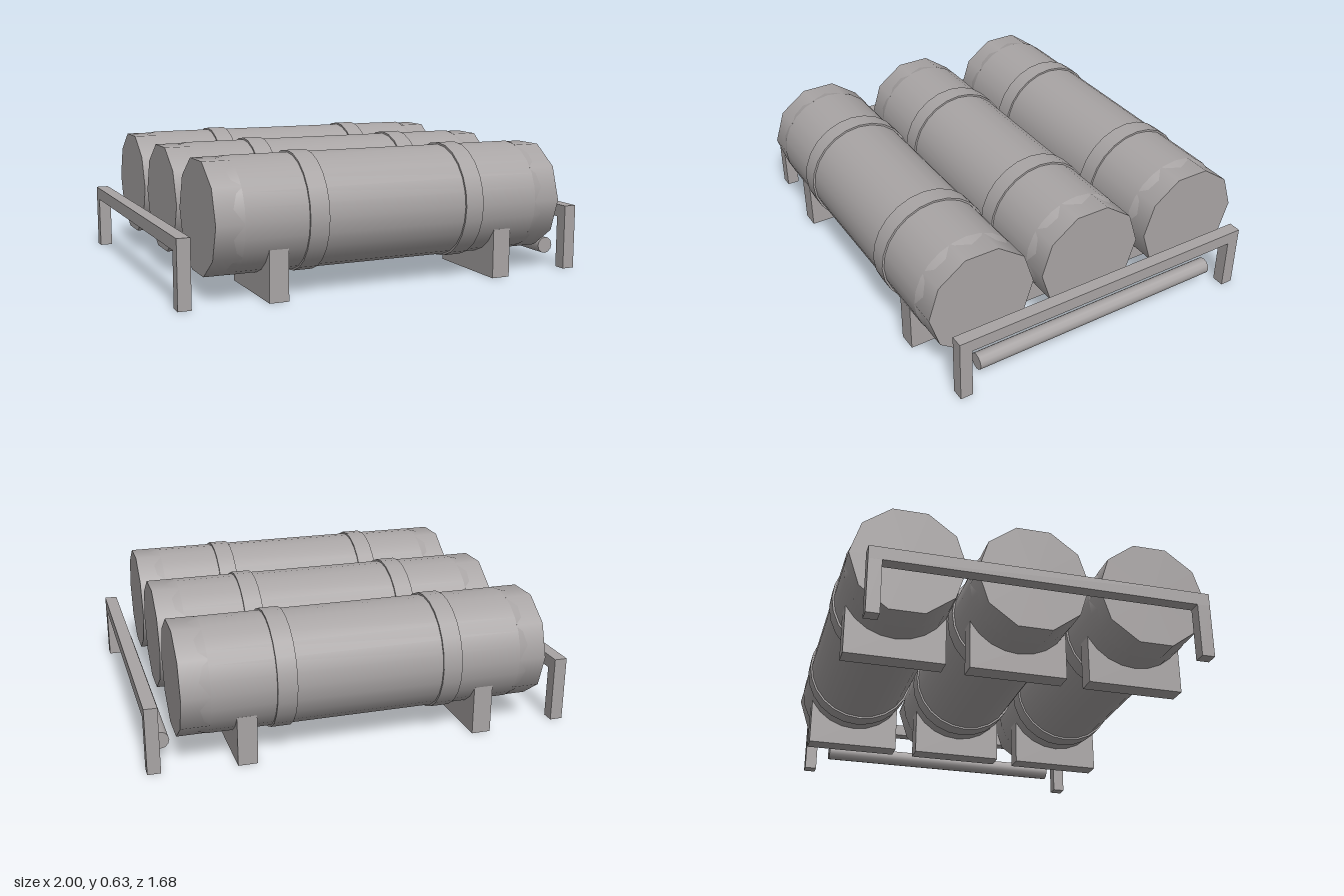
import * as THREE from 'three';

export function createModel() {
  const model = new THREE.Group();
  model.name = 'tankRack';
  const steel = new THREE.MeshStandardMaterial({ color: 0xa8a4a4 });
  steel.name = 'grey steel';

  const add = (parent, name, geometry, x, y, z) => {
    const mesh = new THREE.Mesh(geometry, steel);
    mesh.name = name;
    mesh.position.set(x, y, z);
    parent.add(mesh);
    return mesh;
  };
  // Cylinder lying along x; top radius faces -x
  const lying = (rMinusX, rPlusX, length, sides) =>
    new THREE.CylinderGeometry(rMinusX, rPlusX, length, sides).rotateZ(Math.PI / 2);

  const R = 0.262, axisY = 0.356;
  for (const [label, z] of [['front', 0.57], ['middle', 0], ['rear', -0.57]]) {
    const tank = new THREE.Group();
    tank.name = label + 'Tank';
    model.add(tank);

    add(tank, 'tankBody', lying(R, R, 1.44, 24), 0, axisY, z);
    for (const s of [-1, 1]) {
      // Tapered shoulder running into a ten-sided end cap
      const shoulder = s > 0 ? lying(R, 0.24, 0.08, 24) : lying(0.24, R, 0.08, 24);
      add(tank, 'tankShoulder', shoulder, s * 0.76, axisY, z);
      add(tank, 'endCap', lying(R, R, 0.13, 10), s * 0.785, axisY, z);
      // Strap and support block
      add(tank, 'strap', lying(0.271, 0.271, 0.09, 24), s * 0.385, axisY, z);
      add(tank, 'supportBlock', new THREE.BoxGeometry(0.09, 0.232, 0.46), s * 0.56, 0.116, z);
    }
  }

  // Guard frame at each end
  for (const s of [-1, 1]) {
    const frame = new THREE.Group();
    frame.name = s > 0 ? 'leftGuardFrame' : 'rightGuardFrame';
    model.add(frame);
    add(frame, 'topRail', new THREE.BoxGeometry(0.06, 0.06, 1.54), s * 0.97, 0.28, 0);
    for (const k of [-1, 1]) {
      add(frame, 'post', new THREE.BoxGeometry(0.06, 0.25, 0.06), s * 0.97, 0.125, k * 0.74);
    }
  }

  // Pipe running across the left end
  const pipe = new THREE.CylinderGeometry(0.04, 0.04, 1.29, 12).rotateX(Math.PI / 2);
  add(model, 'manifoldPipe', pipe, 0.92, 0.095, 0);

  return model;
}
